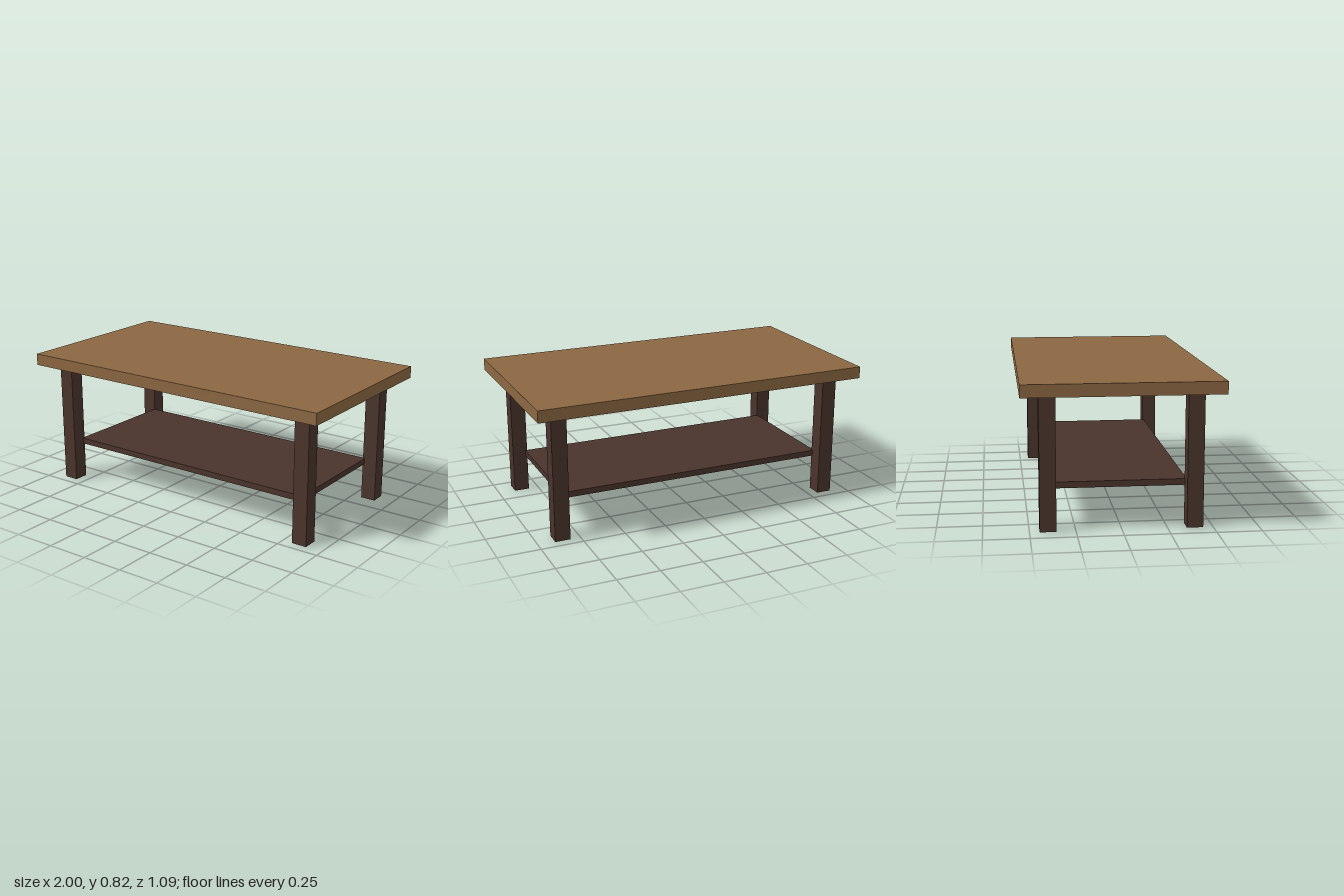
import * as THREE from 'three';

export function createModel() {
  const table = new THREE.Group();
  table.name = 'coffeeTable';

  const lightWood = new THREE.MeshStandardMaterial({ color: 0x8b6742 });
  lightWood.name = 'lightWood';
  const darkWood = new THREE.MeshStandardMaterial({ color: 0x4a342c });
  darkWood.name = 'darkWood';

  // Box placed by the height of its underside
  function addBoard(name, material, [w, h, d], [x, bottom, z]) {
    const mesh = new THREE.Mesh(new THREE.BoxGeometry(w, h, d), material);
    mesh.name = name;
    mesh.position.set(x, bottom + h / 2, z);
    table.add(mesh);
  }

  addBoard('tabletop', lightWood, [2, 0.07, 1.09], [0, 0.75, 0]);

  // Lower shelf, let slightly into the inner corners of the legs
  addBoard('shelf', darkWood, [1.64, 0.035, 0.73], [0, 0.22, 0]);

  // Four square legs
  for (const [side, sx] of [['Left', 1], ['Right', -1]]) {
    for (const [end, sz] of [['front', 1], ['back', -1]]) {
      addBoard(`${end}${side}Leg`, darkWood, [0.09, 0.75, 0.09], [sx * 0.855, 0, sz * 0.4]);
    }
  }

  return table;
}
